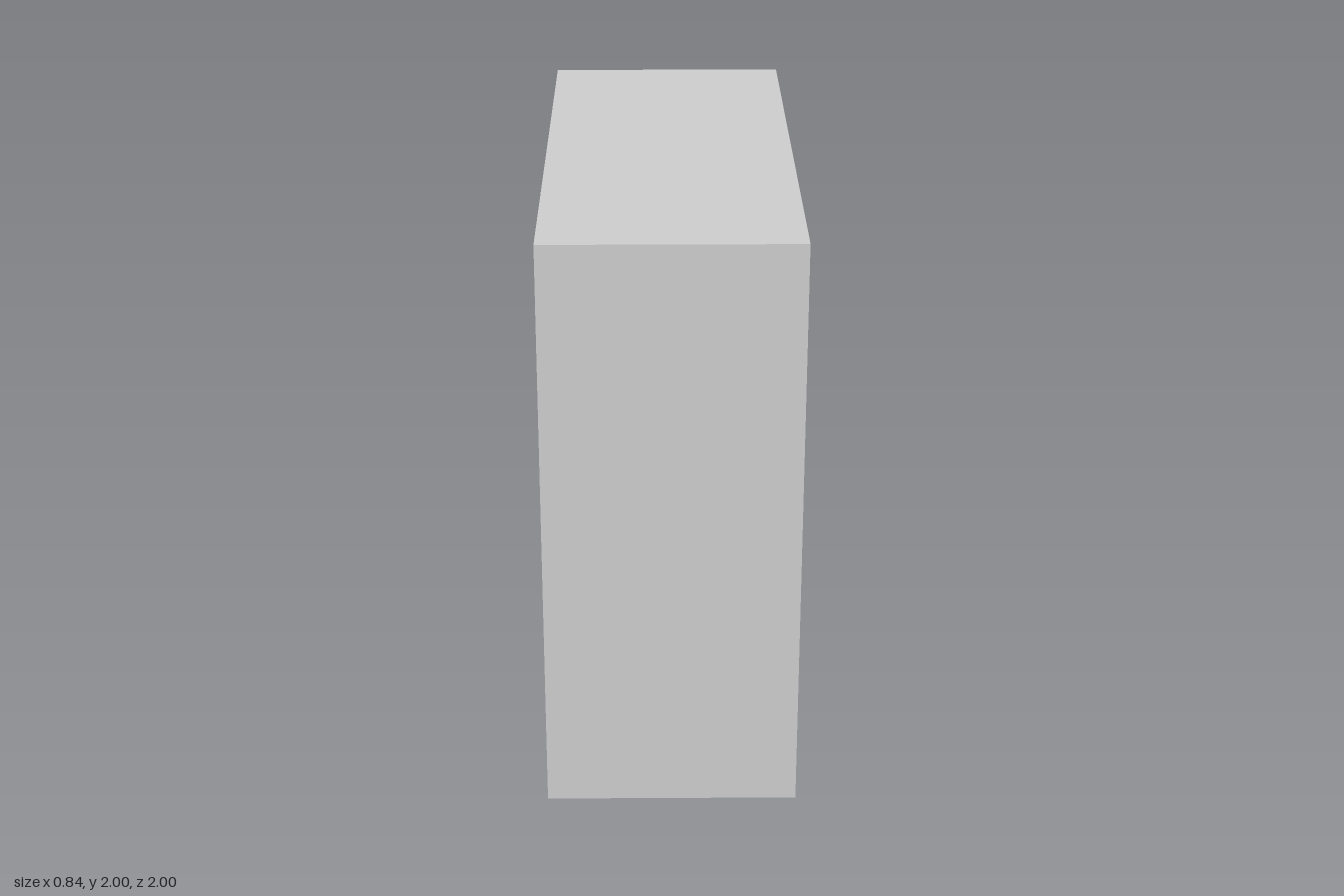
import * as THREE from 'three';

const SIZE = 2;       // outer height and depth
const HOLE = 0.824;   // side of the square opening
const WIDTH = 0.844;  // thickness along x

// Adds a centred square outline to a shape or path
function square(path, side) {
  const h = side / 2;
  path.moveTo(-h, -h);
  path.lineTo(h, -h);
  path.lineTo(h, h);
  path.lineTo(-h, h);
  path.closePath();
  return path;
}

export function createModel() {
  const group = new THREE.Group();
  group.name = 'squareFrame';

  // Thick square block with a square opening through it from side to side
  const outline = square(new THREE.Shape(), SIZE);
  outline.holes.push(square(new THREE.Path(), HOLE));
  const geometry = new THREE.ExtrudeGeometry(outline, { depth: WIDTH, bevelEnabled: false });
  geometry.translate(0, 0, -WIDTH / 2);
  geometry.rotateY(Math.PI / 2);
  geometry.translate(0, SIZE / 2, 0);

  const frame = new THREE.Mesh(
    geometry,
    new THREE.MeshStandardMaterial({ color: 0xcccccc, flatShading: true })
  );
  frame.name = 'frameBlock';
  group.add(frame);
  return group;
}
